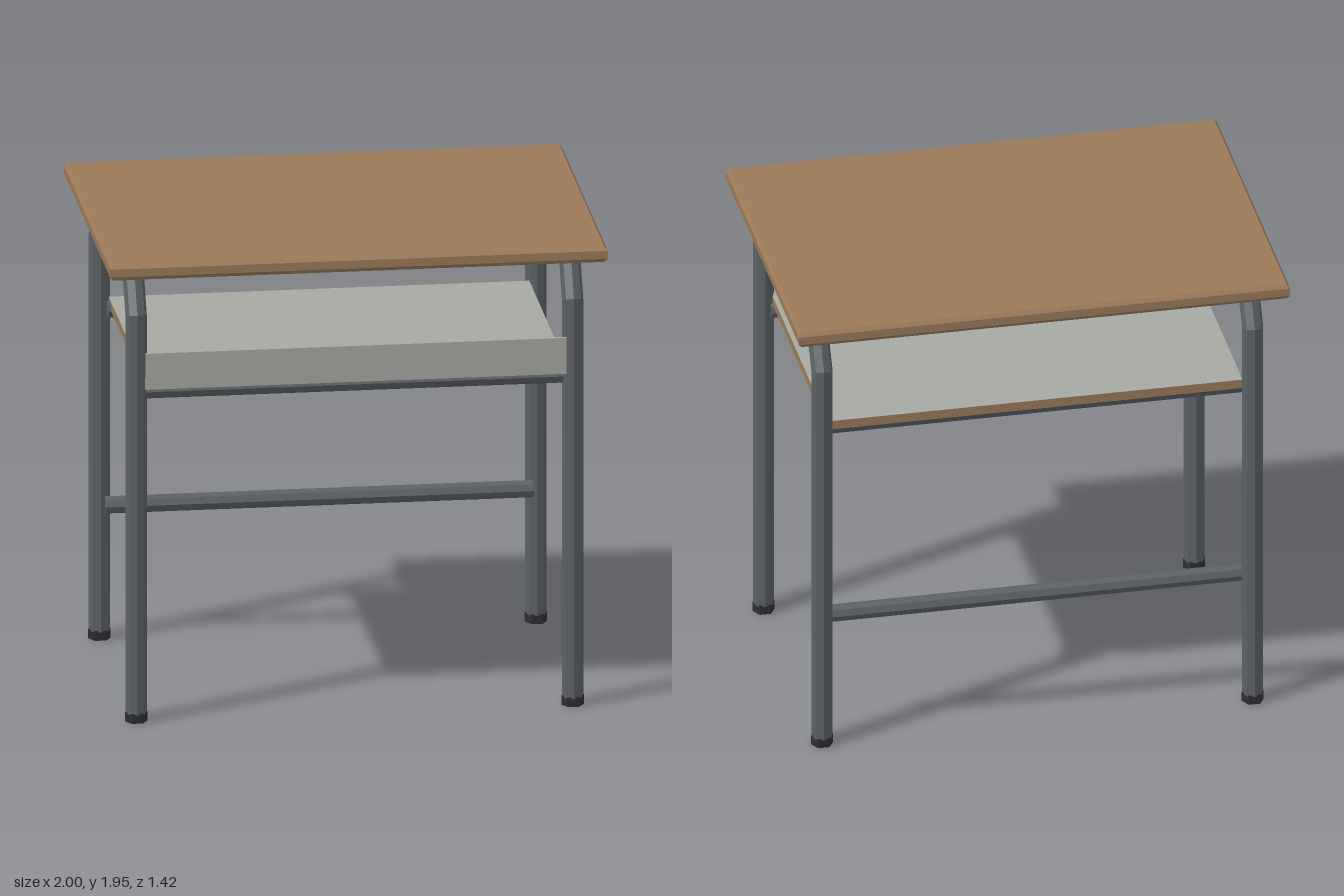
import * as THREE from 'three';

const SIDES = 8;

// Eight-sided tube with mitred corners along a path of [y, z] points at x = 0
function mitredTube(path, r) {
  const pos = [], index = [];
  const pts = path.map(([y, z]) => new THREE.Vector2(y, z));
  const last = pts.length - 1;
  const dir = (i) => pts[i + 1].clone().sub(pts[i]).normalize();
  pts.forEach((p, i) => {
    const before = dir(Math.max(i - 1, 0)), after = dir(Math.min(i, last - 1));
    const t = before.clone().add(after).normalize();
    const stretch = r / t.dot(after);
    for (let j = 0; j < SIDES; j++) {
      const a = (j / SIDES) * Math.PI * 2;
      const s = Math.sin(a) * stretch;
      pos.push(Math.cos(a) * r, p.x - t.y * s, p.y + t.x * s);
    }
  });
  for (let i = 0; i < last; i++) {
    for (let j = 0; j < SIDES; j++) {
      const k = (j + 1) % SIDES;
      const a = i * SIDES + j, b = i * SIDES + k;
      const d = a + SIDES, c = b + SIDES;
      index.push(a, d, c, a, c, b);
    }
  }
  // End caps
  const e = last * SIDES;
  for (let j = 1; j < SIDES - 1; j++) {
    index.push(0, j, j + 1, e, e + j + 1, e + j);
  }
  const indexed = new THREE.BufferGeometry();
  indexed.setAttribute('position', new THREE.Float32BufferAttribute(pos, 3));
  indexed.setIndex(index);
  const g = indexed.toNonIndexed();
  g.computeVertexNormals();
  return g;
}

export function createModel() {
  const material = (name, color) => {
    const m = new THREE.MeshStandardMaterial({ color, flatShading: true });
    m.name = name;
    return m;
  };
  const wood = material('wood', 0x9a7a58);
  const steel = material('steel', 0x5b6064);
  const grey = material('greyPanel', 0xa6a8a2);
  const rubber = material('rubber', 0x2e2e30);

  const model = new THREE.Group();
  model.name = 'desk';
  const add = (name, geometry, mat, x = 0, y = 0, z = 0) => {
    const mesh = new THREE.Mesh(geometry, mat);
    mesh.name = name;
    mesh.position.set(x, y, z);
    model.add(mesh);
    return mesh;
  };

  // Table top with chamfered edges
  const bevel = 0.012, hx = 1 - bevel, hz = 0.71 - bevel;
  const outline = new THREE.Shape([
    new THREE.Vector2(-hx, -hz), new THREE.Vector2(hx, -hz),
    new THREE.Vector2(hx, hz), new THREE.Vector2(-hx, hz),
  ]);
  const top = new THREE.ExtrudeGeometry(outline, {
    depth: 0.033, bevelEnabled: true, bevelThickness: 0.016, bevelSize: bevel, bevelSegments: 1,
  });
  top.rotateX(-Math.PI / 2);
  add('tableTop', top, wood, 0, 1.896, 0);

  // Side frames: two legs joined by a bent top rail, with hexagonal feet
  const legX = 0.877, legZ = 0.567;
  const arch = mitredTube([
    [0.035, legZ], [1.69, legZ], [1.84, 0.475],
    [1.84, -0.475], [1.69, -legZ], [0.035, -legZ],
  ], 0.043);
  const foot = new THREE.CylinderGeometry(0.045, 0.045, 0.04, 6);
  foot.rotateY(Math.PI / 6);
  for (const side of [-1, 1]) {
    const label = side > 0 ? 'left' : 'right';
    add(label + 'LegFrame', arch, steel, side * legX);
    for (const end of [-1, 1]) {
      add(label + (end > 0 ? 'FrontFoot' : 'BackFoot'), foot, rubber, side * legX, 0.02, end * legZ);
    }
  }

  // Cross bars
  const bar = (name, y, z, halfLength) => {
    const g = new THREE.CylinderGeometry(0.036, 0.036, halfLength * 2, SIDES);
    g.rotateZ(Math.PI / 2);
    add(name, g, steel, 0, y, z);
  };
  bar('frontShelfBar', 1.372, 0.545, 0.855);
  bar('backShelfBar', 1.395, -0.485, 0.855);
  bar('lowerBackBar', 0.565, -0.53, 0.86);

  // Wooden shelf with a grey upper face
  const shelf = new THREE.BoxGeometry(1.69, 0.038, 1.13);
  add('shelf', shelf, [wood, wood, grey, wood, wood, wood], 0, 1.415, 0.04);

  // Front lip of the shelf
  add('frontPanel', new THREE.BoxGeometry(1.69, 0.15, 0.014), grey, 0, 1.47, 0.613);

  return model;
}
